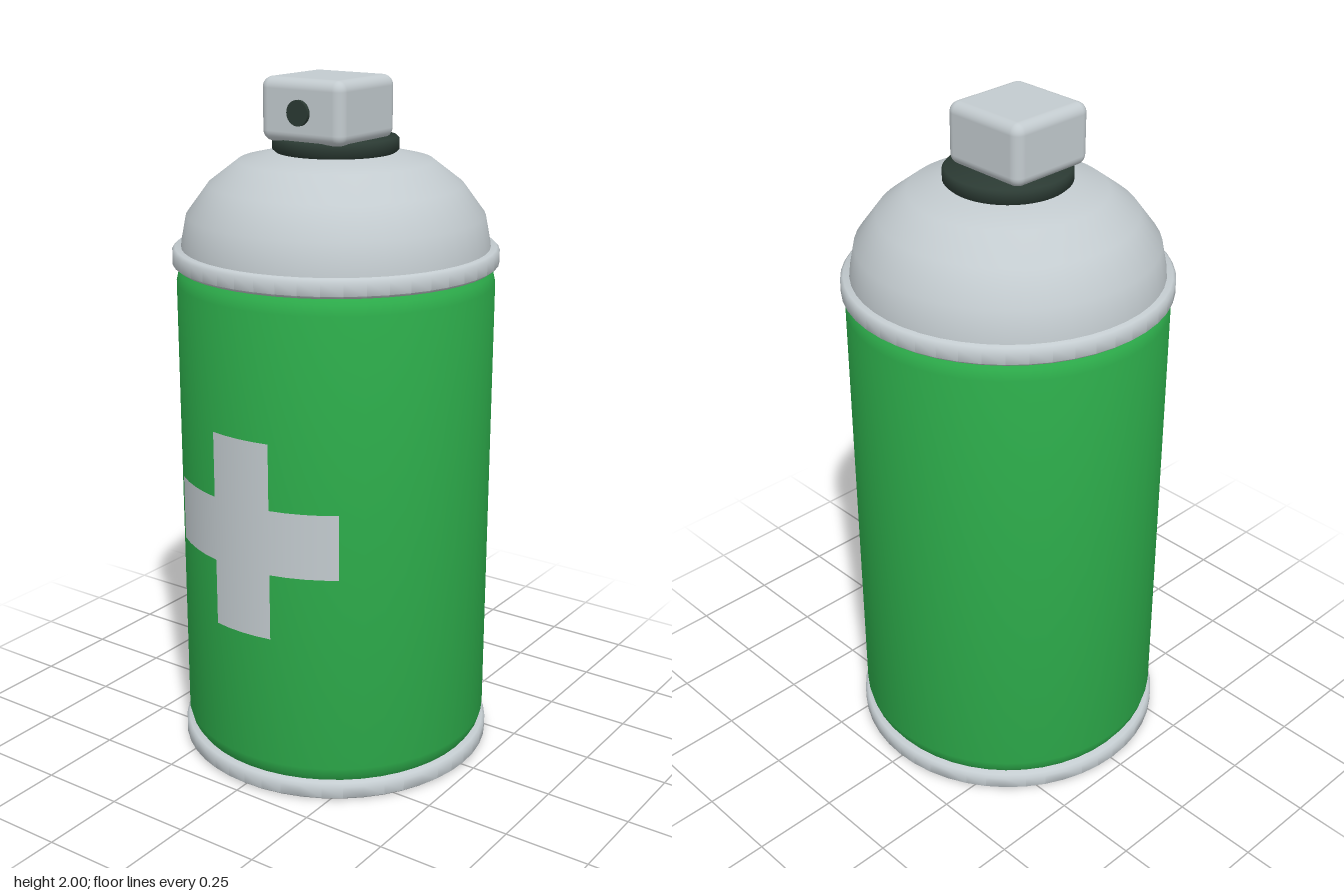
import * as THREE from 'three';
import { toCreasedNormals } from 'three/addons/utils/BufferGeometryUtils.js';
import { RoundedBoxGeometry } from 'three/addons/geometries/RoundedBoxGeometry.js';

const SEGMENTS = 48;

export function createModel() {
  const group = new THREE.Group();
  const mat = (name, color) => {
    const m = new THREE.MeshStandardMaterial({ color });
    m.name = name;
    return m;
  };
  const green = mat('green paint', 0x2dad4b);
  const grey = mat('light grey', 0xc3cbcf);
  const dark = mat('dark collar', 0x2b3a33);

  const add = (name, geometry, material, parent = group) => {
    const mesh = new THREE.Mesh(geometry, material);
    mesh.name = name;
    parent.add(mesh);
    return mesh;
  };
  // Turned part from [radius, height] pairs, listed bottom to top
  const turned = (name, profile, material, crease = 0.6) => {
    const points = profile.map(([r, y]) => new THREE.Vector2(r, y));
    return add(name, toCreasedNormals(new THREE.LatheGeometry(points, SEGMENTS), crease), material);
  };
  const rim = (name, y0, y1) => turned(name, [
    [0, y0], [0.455, y0], [0.465, y0 + 0.008], [0.465, y1 - 0.008], [0.457, y1], [0, y1],
  ], grey, 0.9);

  // Can
  rim('bottomRim', 0, 0.05);
  turned('body', [
    [0.435, 0.048], [0.448, 0.068], [0.455, 0.095],
    [0.455, 1.425], [0.448, 1.455], [0.43, 1.478],
  ], green, 1);
  rim('topRim', 1.473, 1.525);

  // Domed shoulder
  turned('shoulder', [
    [0.44, 1.52], [0.438, 1.54], [0.423, 1.615], [0.36, 1.7],
    [0.275, 1.765], [0.165, 1.79], [0, 1.792],
  ], grey, 1.1);

  // Valve collar
  turned('collar', [
    [0.165, 1.785], [0.178, 1.797], [0.178, 1.824], [0.172, 1.831], [0, 1.831],
  ], dark, 0.9);

  // Spray button and its outlet
  const button = add('sprayButton', new RoundedBoxGeometry(0.274, 0.175, 0.272, 4, 0.03), grey);
  button.position.set(0, 1.9125, 0.036);
  const outlet = add('sprayOutlet', new THREE.CylinderGeometry(0.035, 0.035, 0.02, 24), dark);
  outlet.rotation.x = Math.PI / 2;
  outlet.position.set(0, 1.91, 0.173);

  // Cross wrapped around the front of the can
  const cross = new THREE.Group();
  cross.name = 'cross';
  group.add(cross);
  const patch = (name, from, to, y0, y1, segments) => {
    const geometry = new THREE.CylinderGeometry(0.463, 0.463, y1 - y0, segments, 1, true, from, to - from);
    add(name, geometry, grey, cross).position.y = (y0 + y1) / 2;
  };
  const inner = Math.asin(0.094 / 0.463);
  const outer = Math.asin(0.273 / 0.463);
  patch('crossUpright', -inner, inner, 0.49, 1.066, 4);
  patch('crossLeftArm', inner, outer, 0.685, 0.875, 4);
  patch('crossRightArm', -outer, -inner, 0.685, 0.875, 4);

  return group;
}
